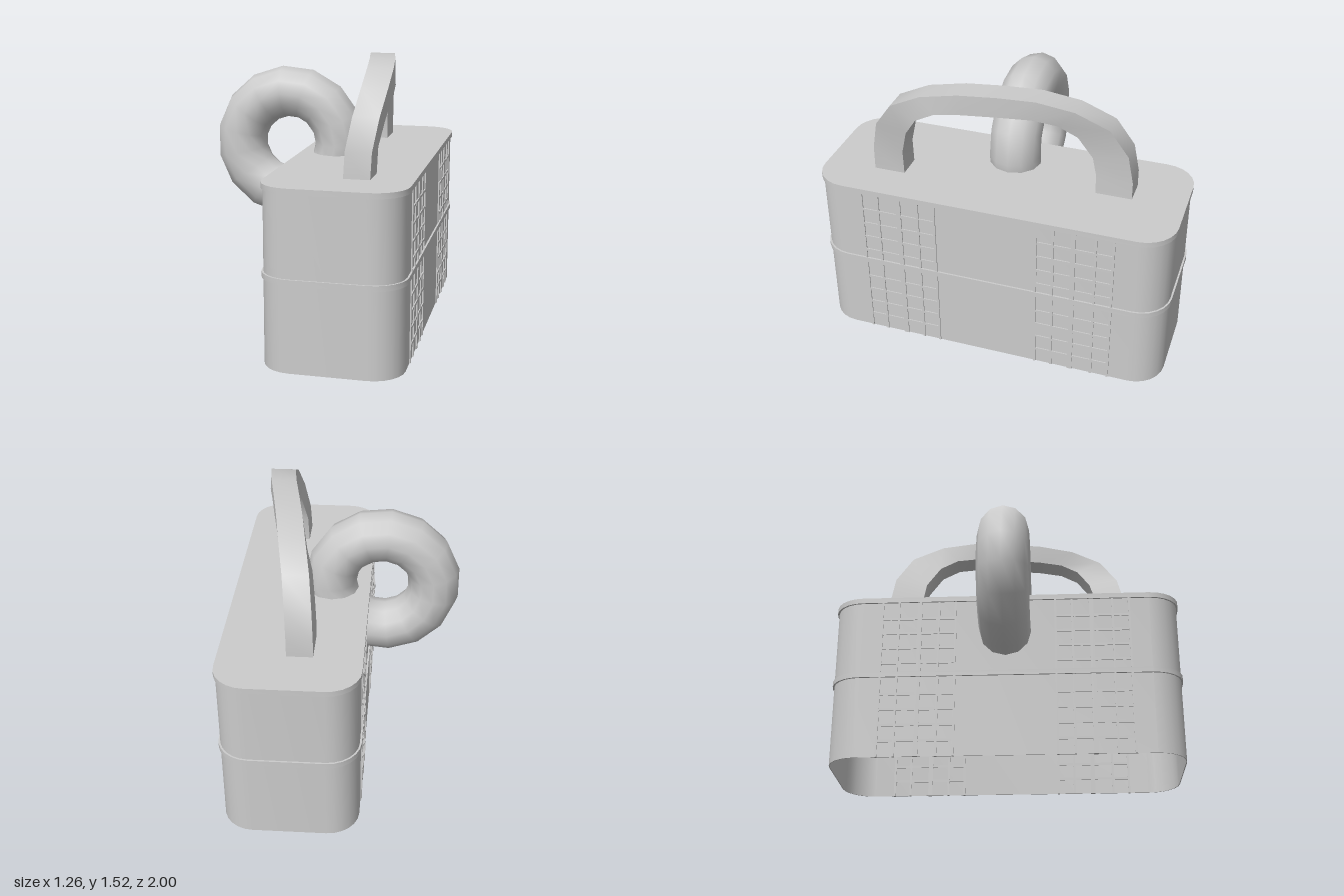
import * as THREE from 'three';
import { toCreasedNormals } from 'three/addons/utils/BufferGeometryUtils.js';

const CX = 0.25; // centre of the box across x
const HALF_X = 0.38, HALF_Z = 1, RADIUS = 0.18;

const material = new THREE.MeshStandardMaterial({ color: 0xcccccc, side: THREE.DoubleSide });

function addMesh(parent, name, geometry, x = 0, y = 0, z = 0) {
  const mesh = new THREE.Mesh(geometry, material);
  mesh.name = name;
  mesh.position.set(x, y, z);
  parent.add(mesh);
  return mesh;
}

// Rounded rectangle, pulled in from the rim by an inset
function outline(path, inset) {
  const w = HALF_X - inset, l = HALF_Z - inset, r = RADIUS - inset;
  path.absarc(w - r, l - r, r, 0, Math.PI / 2);
  path.absarc(-w + r, l - r, r, Math.PI / 2, Math.PI);
  path.absarc(-w + r, -l + r, r, Math.PI, Math.PI * 1.5);
  path.absarc(w - r, -l + r, r, Math.PI * 1.5, Math.PI * 2);
  path.closePath();
  return path;
}

// Upright slab or, with an inner inset, a hollow band
function slab(height, inset, innerInset) {
  const shape = outline(new THREE.Shape(), inset);
  if (innerInset) shape.holes.push(outline(new THREE.Path(), innerInset));
  const geo = new THREE.ExtrudeGeometry(shape, { depth: height, bevelEnabled: false, curveSegments: 3 });
  geo.rotateX(-Math.PI / 2);
  return toCreasedNormals(geo, 0.9);
}

// Arched strip of rectangular section: [outer z, outer y, inner z, inner y, centre x]
function handleGeometry() {
  const stations = [
    [-0.71, 0.94, -0.51, 0.94, 0.2], [-0.71, 1.06, -0.51, 1.07, 0.2],
    [-0.68, 1.22, -0.49, 1.18, 0.207], [-0.58, 1.37, -0.41, 1.3, 0.225],
    [-0.4, 1.465, -0.31, 1.37, 0.26], [-0.2, 1.51, -0.18, 1.4, 0.294],
    [0, 1.52, 0, 1.405, 0.33], [0.2, 1.52, 0.2, 1.405, 0.367],
    [0.4, 1.49, 0.33, 1.395, 0.393], [0.57, 1.41, 0.43, 1.345, 0.397],
    [0.67, 1.27, 0.5, 1.24, 0.372], [0.71, 1.1, 0.54, 1.1, 0.343],
    [0.715, 0.94, 0.54, 0.94, 0.335],
  ];
  const half = 0.07;
  const rings = stations.map(([zo, yo, zi, yi, x]) => [
    [x - half, yo, zo], [x + half, yo, zo], [x + half, yi, zi], [x - half, yi, zi],
  ]);
  const pos = [];
  for (let i = 0; i < rings.length - 1; i++) {
    for (let k = 0; k < 4; k++) {
      const n = (k + 1) % 4;
      const a = rings[i][k], b = rings[i][n], c = rings[i + 1][n], d = rings[i + 1][k];
      pos.push(...a, ...c, ...b, ...a, ...d, ...c);
    }
  }
  const geo = new THREE.BufferGeometry();
  geo.setAttribute('position', new THREE.Float32BufferAttribute(pos, 3));
  return toCreasedNormals(geo, 0.7);
}

// One lattice panel running up a long wall
function latticePanel(x, side) {
  const panel = new THREE.Group();
  panel.name = 'latticePanel';
  const depth = 0.018;
  for (const [z, width] of [[0.285, 0.012], [0.38, 0.012], [0.49, 0.026], [0.61, 0.012], [0.705, 0.012]]) {
    addMesh(panel, 'latticeUpright', new THREE.BoxGeometry(depth, 0.935, width), x, 0.4675, z * side);
  }
  for (const base of [0, 0.462]) {
    for (let i = 1; i <= 4; i++) {
      addMesh(panel, 'latticeRail', new THREE.BoxGeometry(depth - 0.002, 0.014, 0.42), x, base + i * 0.091, 0.495 * side);
    }
  }
  return panel;
}

export function createModel() {
  const model = new THREE.Group();
  model.name = 'basket';

  // Open-bottomed walls, lid and middle band
  addMesh(model, 'walls', slab(0.935, 0.01, 0.015), CX);
  addMesh(model, 'lid', slab(0.03, 0), CX, 0.93);
  addMesh(model, 'middleBand', slab(0.03, 0, 0.014), CX, 0.467);

  // Lattice panels on both long walls
  for (const wall of [-1, 1]) {
    for (const side of [-1, 1]) model.add(latticePanel(CX + wall * 0.368, side));
  }

  // Skewed carrying handle
  addMesh(model, 'handle', handleGeometry());

  // Ring passing through the lid and one long wall
  addMesh(model, 'ring', new THREE.TorusGeometry(0.291, 0.145, 12, 15), -0.2, 1.01, 0);

  return model;
}
